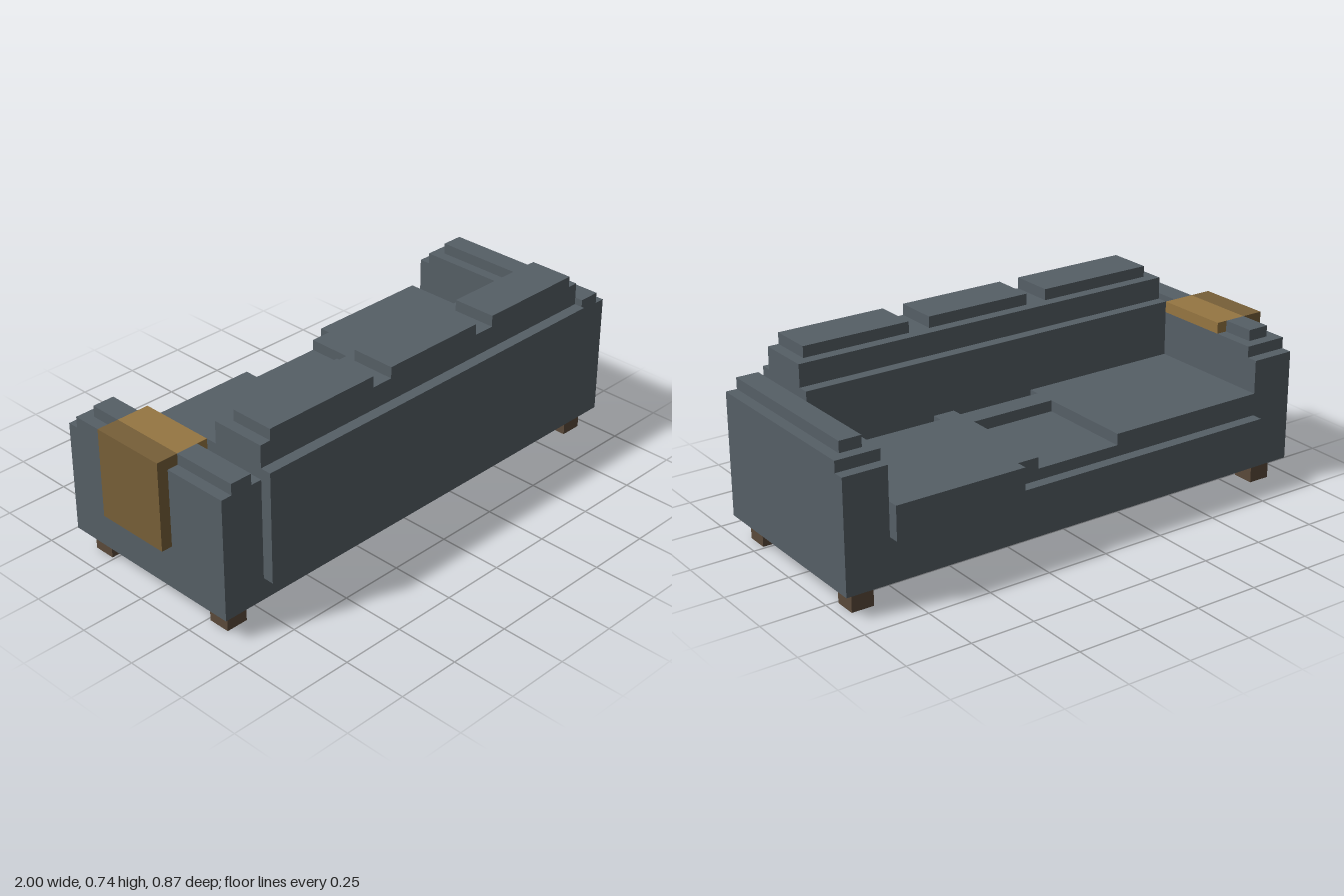
import * as THREE from 'three';

// Everything sits on a block grid, 46 blocks along the longest side.
const U = 2 / 46;

function material(name, color) {
  const m = new THREE.MeshStandardMaterial({ color });
  m.name = name;
  return m;
}

export function createModel() {
  const fabric = material('slate fabric', 0x565f66);
  const wood = material('dark wood', 0x5b4a3a);
  const throwLight = material('ochre throw', 0x967642);
  const throwDark = material('dark ochre throw', 0x775f38);

  const sofa = new THREE.Group();
  sofa.name = 'sofa';

  // Box from grid bounds; x counts from the right end, y from the floor, z from the middle
  function block(name, mat, [x0, x1], [y0, y1], [z0, z1]) {
    const mesh = new THREE.Mesh(
      new THREE.BoxGeometry((x1 - x0) * U, (y1 - y0) * U, (z1 - z0) * U), mat);
    mesh.position.set(-1 + (x0 + x1) / 2 * U, (y0 + y1) / 2 * U, (z0 + z1) / 2 * U);
    mesh.name = name;
    sofa.add(mesh);
  }

  // Legs
  for (const x of [[2, 4], [43, 45]])
    for (const z of [[-8, -6], [6, 8]]) block('leg', wood, x, [0, 2], z);

  // Base
  block('base', fabric, [1, 46], [2, 6], [-9, 9]);

  // Arms, stepped towards the top
  for (const x of [[1, 5], [42, 46]]) {
    block('arm', fabric, x, [6, 12], [-9, 9]);
    block('armTop', fabric, x, [12, 13], [-8, 9]);
  }
  block('leftArmPad', fabric, [43, 45], [13, 14], [-7, 9]);
  block('rightArmPad', fabric, [2, 4], [13, 14], [-7, -4]);
  block('rightArmPad', fabric, [2, 4], [13, 14], [3, 9]);

  // Backrest with outer panel and three cushion tops
  block('backrest', fabric, [5, 42], [6, 14], [3, 9]);
  block('backrestTop', fabric, [5, 42], [14, 16], [4, 9]);
  block('backPanel', fabric, [5, 42], [4, 14], [9, 10]);
  for (const x of [[6, 17], [19, 29], [31, 41]])
    block('backCushion', fabric, x, [16, 17], [5, 9]);

  // Seat deck, front ledge and uneven seat cushions
  block('seatDeck', fabric, [5, 42], [6, 8], [-9, 3]);
  block('seatLedge', fabric, [5, 42], [6, 7], [-10, -9]);
  block('leftSeatCushion', fabric, [30, 42], [7, 9], [-10, 2]);
  block('seatDivider', fabric, [28, 30], [8, 9], [-9, 3]);
  block('middleSeatCushion', fabric, [20, 28], [8, 9], [0, 2]);
  block('rightSeatCushion', fabric, [5, 20], [8, 9], [-9, 3]);

  // Throw draped over the right arm
  block('throwDrape', throwDark, [0, 1], [6, 14], [-4, 3]);
  block('throwOuterTop', throwDark, [1, 2], [13, 14], [-4, 3]);
  block('throwInnerTop', throwLight, [2, 5], [13, 14], [-4, 3]);

  return sofa;
}
